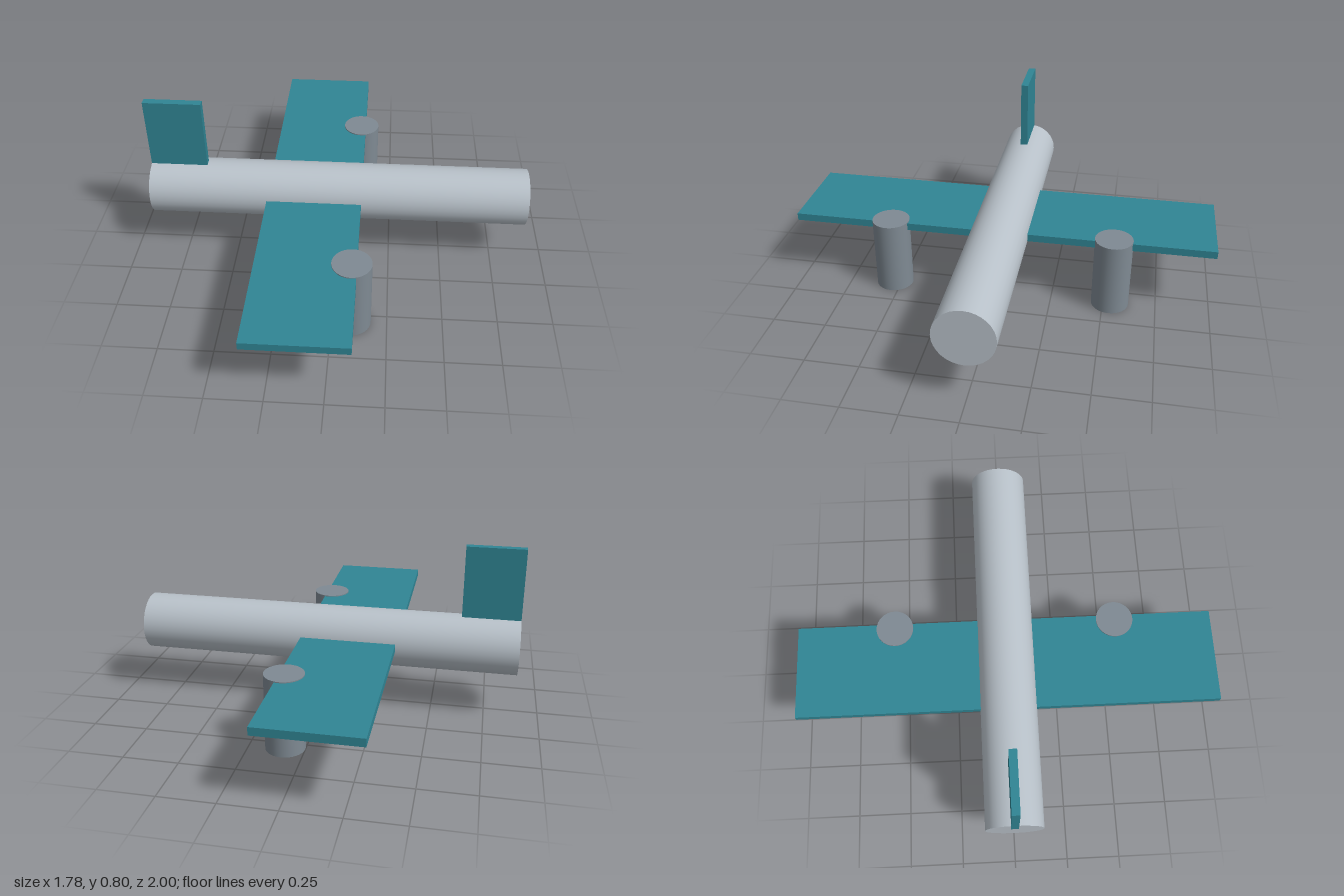
import * as THREE from 'three';

export function createModel() {
  const model = new THREE.Group();
  model.name = 'airplane';

  const material = (name, color) => {
    const m = new THREE.MeshStandardMaterial({ color });
    m.name = name;
    return m;
  };
  const silver = material('silver', 0xb8c1c9);
  const grey = material('grey', 0x7f8a93);
  const teal = material('teal', 0x308594);

  const add = (name, geometry, mat, x, y, z) => {
    const mesh = new THREE.Mesh(geometry, mat);
    mesh.name = name;
    mesh.position.set(x, y, z);
    model.add(mesh);
    return mesh;
  };

  // Fuselage: a plain tube lying along x
  const body = new THREE.CylinderGeometry(0.1333, 0.1333, 1.778, 32);
  body.rotateZ(-Math.PI / 2);
  add('fuselage', body, silver, 0, 0.3333, 0);

  // One wing plank through the fuselage
  add('wing', new THREE.BoxGeometry(0.4444, 0.0356, 2), teal, -0.1111, 0.3333, 0);

  // Tail fin, a hair proud of the fuselage end
  add('tailFin', new THREE.BoxGeometry(0.2667, 0.4444, 0.0356), teal, -0.7562, 0.5778, 0);

  // Upright engines at the wing's leading edge
  for (const [name, side] of [['frontEngine', 1], ['backEngine', -1]]) {
    add(name, new THREE.CylinderGeometry(0.0889, 0.0889, 0.3556, 32), grey, 0.0889, 0.1778, side * 0.5333);
  }

  return model;
}
